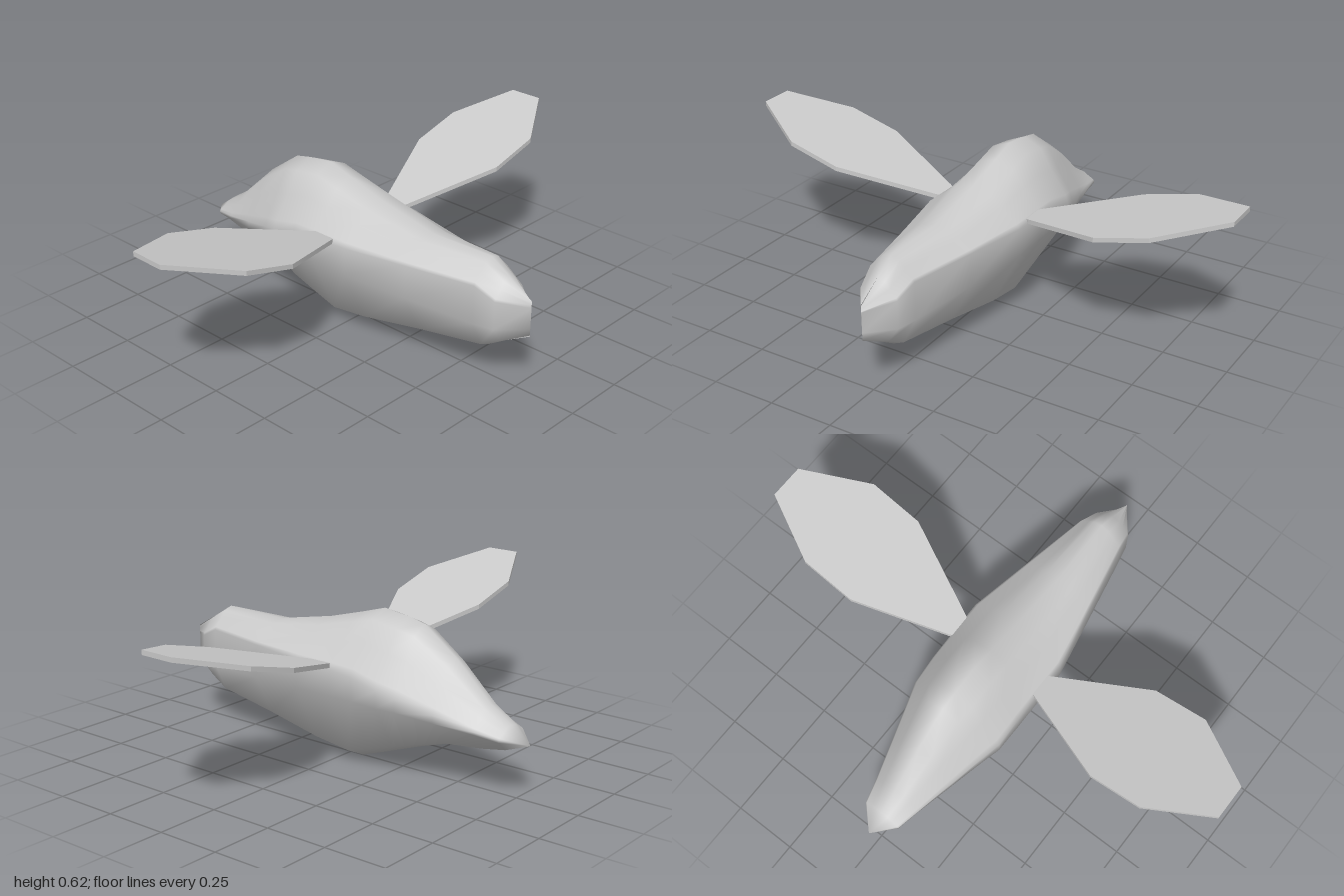
import * as THREE from 'three';
import { mergeVertices } from 'three/addons/utils/BufferGeometryUtils.js';

const material = new THREE.MeshStandardMaterial({ color: 0xcccccc, side: THREE.DoubleSide });

// Body stations: z, top, shoulder, waist, bottom, half width
const STATIONS = [
  [0.80, 0.37, 0.34, 0.26, 0.23, 0],
  [0.70, 0.43, 0.36, 0.25, 0.175, 0.078],
  [0.62, 0.48, 0.40, 0.25, 0.125, 0.095],
  [0.35, 0.475, 0.40, 0.27, 0.08, 0.15],
  [0.10, 0.525, 0.40, 0.29, 0.03, 0.2],
  [-0.06, 0.57, 0.39, 0.29, 0.005, 0.2],
  [-0.16, 0.60, 0.38, 0.29, 0.04, 0.2],
  [-0.27, 0.585, 0.35, 0.285, 0.08, 0.198],
  [-0.34, 0.57, 0.33, 0.28, 0.105, 0.178],
  [-0.48, 0.47, 0.29, 0.26, 0.148, 0.14],
  [-0.63, 0.33, 0.25, 0.24, 0.163, 0.1],
  [-0.72, 0.27, 0.235, 0.225, 0.18, 0.078],
  [-0.80, 0.21, 0.21, 0.21, 0.21, 0],
];

// Closed cross-section, from the top round the +x side and back up the other
function section([z, top, shoulder, waist, bottom, w]) {
  const h = top - shoulder;
  const d = waist - bottom;
  const half = [
    [0.37 * w, top - 0.14 * h],
    [0.62 * w, top - 0.48 * h],
    [0.94 * w, top - 0.86 * h],
    [w, shoulder],
    [w, waist],
    [0.45 * w, bottom + 0.15 * d],
  ];
  const mirrored = half.map(([x, y]) => [-x, y]).reverse();
  return [[0, top], ...half, [0, bottom], ...mirrored].map(([x, y]) => [x, y, z]);
}

function loft(rings) {
  const n = rings[0].length;
  const index = [];
  for (let i = 0; i < rings.length - 1; i++) {
    for (let j = 0; j < n; j++) {
      const a = i * n + j, b = i * n + (j + 1) % n;
      index.push(a, b, a + n, b, b + n, a + n);
    }
  }
  const geometry = new THREE.BufferGeometry();
  geometry.setAttribute('position', new THREE.Float32BufferAttribute(rings.flat(2), 3));
  geometry.setIndex(index);
  const merged = mergeVertices(geometry, 1e-4);
  merged.computeVertexNormals();
  return merged;
}

// Thin wing plate, sheared upwards towards its tip
function wingGeometry(side) {
  const outline = [
    [0.16, 0.015], [0.2, 0.04], [0.55, 0.2], [0.76, 0.2], [1, 0.055],
    [1, -0.08], [0.76, -0.2], [0.55, -0.2], [0.2, -0.06], [0.16, -0.035],
  ];
  const shape = new THREE.Shape(outline.map(([x, z]) => new THREE.Vector2(side * x, -z)));
  const geometry = new THREE.ExtrudeGeometry(shape, { depth: 0.018, bevelEnabled: false });
  geometry.rotateX(-Math.PI / 2);
  const rise = 0.264 * side;
  geometry.applyMatrix4(new THREE.Matrix4().set(
    1, 0, 0, 0,
    rise, 1, 0, 0.345,
    0, 0, 1, 0,
    0, 0, 0, 1));
  geometry.computeVertexNormals();
  return geometry;
}

export function createModel() {
  const model = new THREE.Group();
  model.name = 'wingedCreature';

  const body = new THREE.Mesh(loft(STATIONS.map(section)), material);
  body.name = 'body';
  model.add(body);

  for (const side of [1, -1]) {
    const wing = new THREE.Mesh(wingGeometry(side), material);
    wing.name = side > 0 ? 'leftWing' : 'rightWing';
    model.add(wing);
  }
  return model;
}
